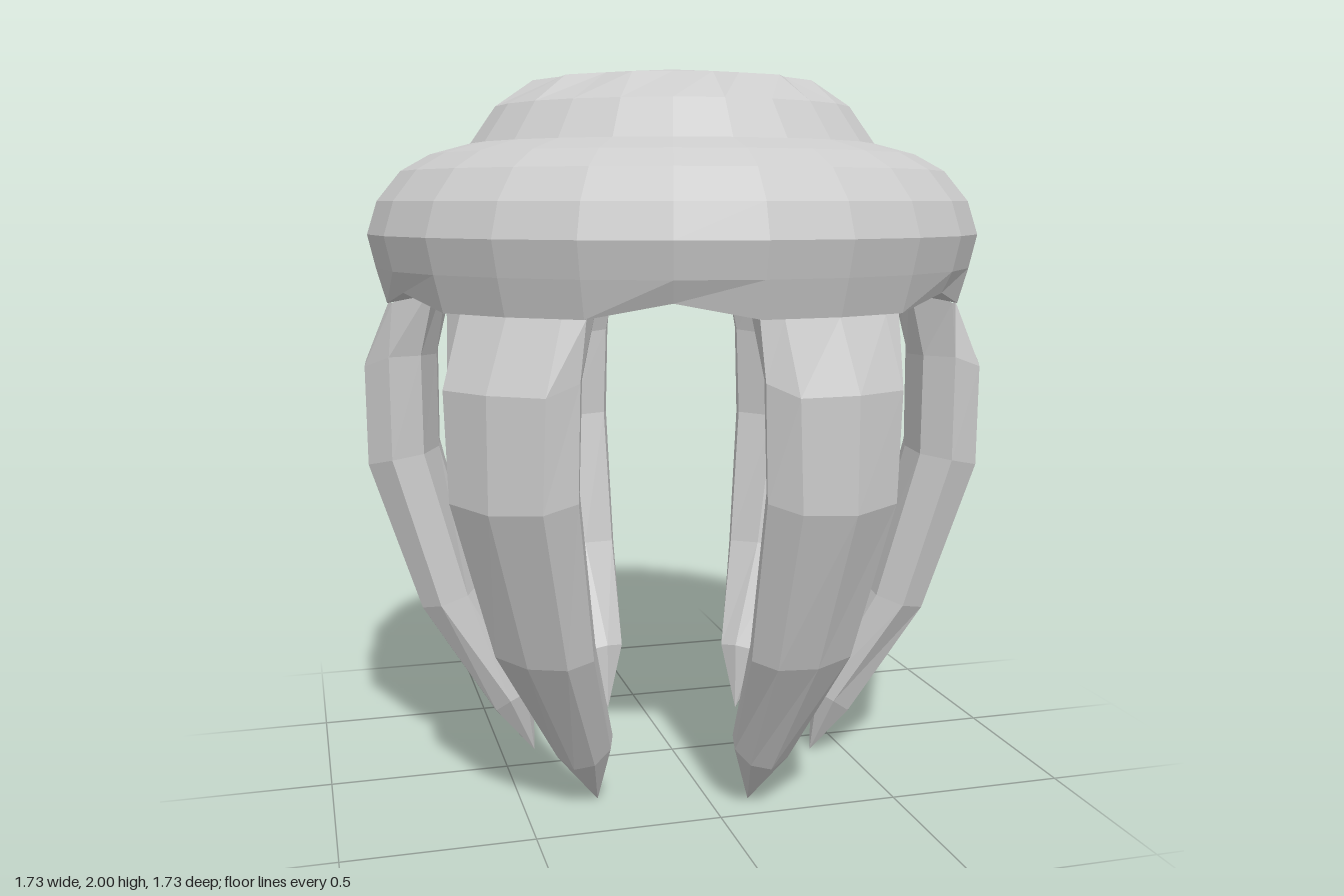
import * as THREE from 'three';

const SIDES = 24;
const LEGS = 6;
const V = (x, y, z) => new THREE.Vector3(x, y, z);

// Skin a stack of closed rings, listed from top to bottom, with flat facets.
function loft(rings) {
  const pos = [];
  const tri = (a, b, c) => {
    if (a.distanceTo(b) < 1e-6 || b.distanceTo(c) < 1e-6 || a.distanceTo(c) < 1e-6) return;
    for (const p of [a, b, c]) pos.push(p.x, p.y, p.z);
  };
  for (let j = 0; j < rings.length - 1; j++) {
    const up = rings[j], low = rings[j + 1], n = up.length;
    for (let i = 0; i < n; i++) {
      const k = (i + 1) % n;
      tri(low[i], low[k], up[k]);
      tri(low[i], up[k], up[i]);
    }
  }
  const geo = new THREE.BufferGeometry();
  geo.setAttribute('position', new THREE.Float32BufferAttribute(pos, 3));
  geo.computeVertexNormals();
  return geo;
}

// Bell: outer skin, scalloped rim and hollow underside.
function bellGeometry() {
  const ring = (radius, height) => Array.from({ length: SIDES }, (_, i) => {
    const a = (i / SIDES) * Math.PI * 2;
    const r = typeof radius === 'function' ? radius(i) : radius;
    const y = typeof height === 'function' ? height(i) : height;
    return V(r * Math.sin(a), y, r * Math.cos(a));
  });
  const arch = (y) => (i) => y + (i % 4 === 3 ? 0.04 : 0); // rises between the legs
  return loft([
    ring(0, 2),
    ring((i) => (i % 2 ? 0.345 : 0.395), (i) => (i % 2 ? 1.966 : 1.962)), // star crown
    ring(0.5, 1.89),
    ring(0.57, 1.79),
    ring(0.68, 1.76),
    ring(0.76, 1.715),
    ring(0.825, 1.635),
    ring(0.853, 1.546),
    ring(0.832, 1.455),
    ring(0.805, arch(1.36)),
    ring(0.64, arch(1.39)),
    ring(0.63, 1.52),
    ring(0.52, 1.66),
    ring(0.3, 1.74),
    ring(0, 1.76),
  ]);
}

// Leg: eight-sided tapering sections, reaching out along +z.
function legGeometry() {
  // Each point is [distance from axis, half width, height].
  const section = (front, shoulder, side, inner, back) => {
    const half = [shoulder, side, inner];
    const mirrored = [...half].reverse().map(([r, w, y]) => [r, -w, y]);
    return [front, ...half, back, ...mirrored].map(([r, w, y]) => V(w, y, r));
  };
  const tip = [0.415, 0, 0];
  return loft([
    section([0.8, 0, 1.36], [0.785, 0.15, 1.36], [0.765, 0.207, 1.36], [0.65, 0.17, 1.42], [0.64, 0, 1.44]),
    section([0.885, 0, 1.18], [0.857, 0.152, 1.18], [0.78, 0.198, 1.21], [0.7, 0.15, 1.21], [0.68, 0, 1.2]),
    section([0.885, 0, 0.89], [0.857, 0.14, 0.9], [0.78, 0.19, 0.92], [0.7, 0.14, 0.93], [0.68, 0, 0.93]),
    section([0.735, 0, 0.465], [0.72, 0.112, 0.475], [0.66, 0.152, 0.49], [0.59, 0.11, 0.51], [0.57, 0, 0.52]),
    section([0.53, 0, 0.125], [0.52, 0.06, 0.145], [0.475, 0.082, 0.18], [0.43, 0.06, 0.2], [0.415, 0, 0.21]),
    section(tip, tip, tip, tip, tip),
  ]);
}

export function createModel() {
  const model = new THREE.Group();
  model.name = 'jellyfish';
  const grey = new THREE.MeshStandardMaterial({ color: 0xcccccc, flatShading: true });

  const bell = new THREE.Mesh(bellGeometry(), grey);
  bell.name = 'bell';
  model.add(bell);

  // Legs hang under every other pair of rim segments.
  const legShape = legGeometry();
  for (let i = 0; i < LEGS; i++) {
    const leg = new THREE.Mesh(legShape, grey);
    leg.name = `leg${i + 1}`;
    leg.rotation.y = THREE.MathUtils.degToRad(15 + i * 60);
    model.add(leg);
  }
  return model;
}
